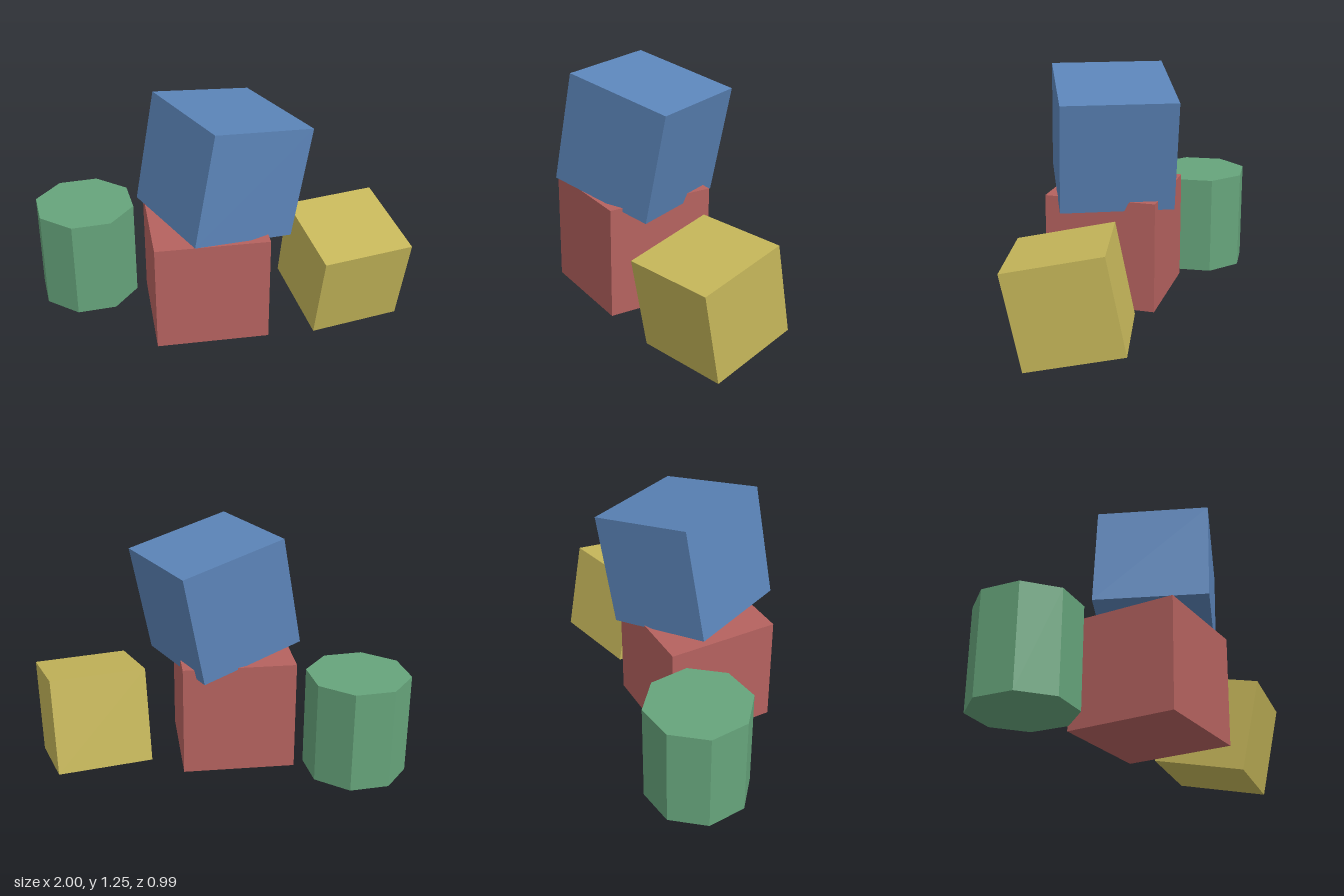
import * as THREE from 'three';

export function createModel() {
  const group = new THREE.Group();
  group.name = 'toyBlocks';

  const paint = (name, color) => {
    const m = new THREE.MeshStandardMaterial({ color, flatShading: true });
    m.name = name;
    return m;
  };

  // Cube turned by yaw, then tipped about its own x axis
  const cube = (name, size, position, yaw, tilt, material) => {
    const mesh = new THREE.Mesh(new THREE.BoxGeometry(size, size, size), material);
    mesh.name = name;
    mesh.position.set(...position);
    mesh.rotation.set(tilt, yaw, 0, 'YXZ');
    group.add(mesh);
  };

  // Upright block, the tipped block resting on it, and the leaning block beside it
  cube('baseBlock', 0.577, [-0.067, 0.336, 0.092], 0.297, 0, paint('red', 0xb5625f));
  cube('topBlock', 0.576, [0.021, 0.915, 0.054], -0.865, -0.2, paint('blue', 0x5b84b8));
  cube('leaningBlock', 0.488, [0.646, 0.291, -0.125], 0.497, 0.2, paint('yellow', 0xc6b75a));

  // Eight-sided drum
  const drum = new THREE.Mesh(new THREE.CylinderGeometry(0.266, 0.266, 0.53, 8), paint('green', 0x66a47b));
  drum.name = 'drum';
  drum.position.set(-0.734, 0.313, -0.039);
  group.add(drum);

  return group;
}
